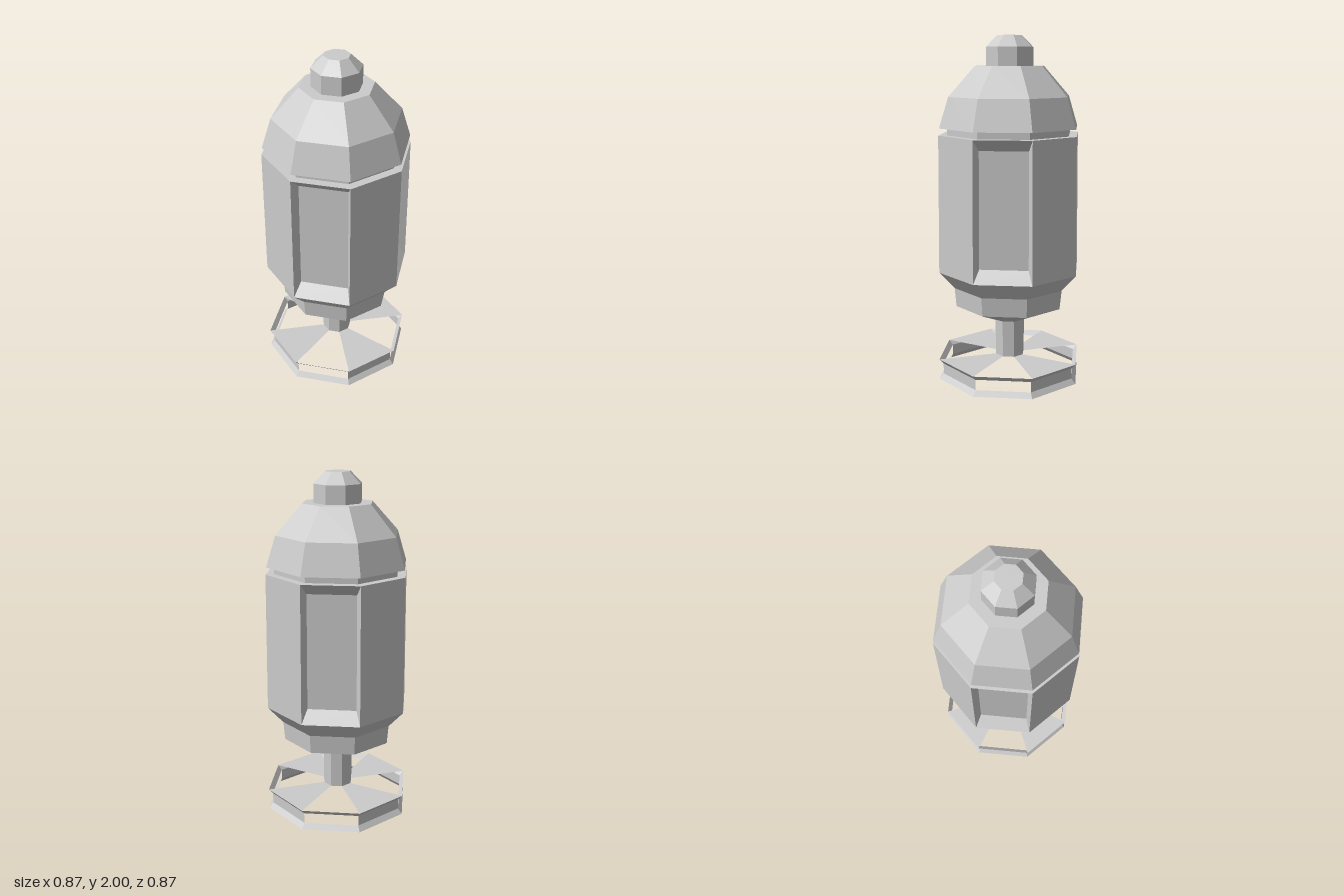
import * as THREE from 'three';

const SIDES = 8;
const STEP = (Math.PI * 2) / SIDES;

const material = new THREE.MeshStandardMaterial({ color: 0xcccccc, flatShading: true });
const thin = new THREE.MeshStandardMaterial({ color: 0xcccccc, flatShading: true, side: THREE.DoubleSide });

// Eight-sided turned part; profile of [radius, y] listed from bottom to top
function turned(name, profile, mat = material) {
  const points = profile.map(([r, y]) => new THREE.Vector2(r, y));
  const geometry = new THREE.LatheGeometry(points, SIDES).toNonIndexed();
  geometry.computeVertexNormals();
  const mesh = new THREE.Mesh(geometry, mat);
  mesh.name = name;
  return mesh;
}

// Flat polygons, corners counter-clockwise from outside
function polygons(name, faces, mat = material) {
  const positions = [];
  for (const f of faces) {
    for (let i = 1; i < f.length - 1; i++) {
      for (const p of [f[0], f[i], f[i + 1]]) positions.push(p.x, p.y, p.z);
    }
  }
  const geometry = new THREE.BufferGeometry();
  geometry.setAttribute('position', new THREE.Float32BufferAttribute(positions, 3));
  geometry.computeVertexNormals();
  const mesh = new THREE.Mesh(geometry, mat);
  mesh.name = name;
  return mesh;
}

// Point on the octagon's corner i
function corner(i, r, y) {
  return new THREE.Vector3(Math.sin(i * STEP) * r, y, Math.cos(i * STEP) * r);
}

// Point on a plane across side i: distance from the axis, sideways offset, height
function onSide(i, depth, across, y) {
  const a = (i + 0.5) * STEP;
  return new THREE.Vector3(
    Math.sin(a) * depth + Math.cos(a) * across, y,
    Math.cos(a) * depth - Math.sin(a) * across);
}

export function createModel() {
  const model = new THREE.Group();
  model.name = 'lantern';

  // Body sides: even ones carry a bevelled recess, odd ones are plain
  const body = new THREE.Group();
  body.name = 'body';
  for (let i = 0; i < SIDES; i++) {
    const outer = [corner(i, 0.427, 0.65), corner(i + 1, 0.427, 0.65),
      corner(i + 1, 0.42, 1.445), corner(i, 0.42, 1.445)];
    if (i % 2) {
      body.add(polygons('plainPanel', [outer], thin));
      continue;
    }
    const inner = [onSide(i, 0.328, -0.138, 0.72), onSide(i, 0.328, 0.138, 0.72),
      onSide(i, 0.322, 0.136, 1.38), onSide(i, 0.322, -0.136, 1.38)];
    const faces = [inner];
    for (let k = 0; k < 4; k++) {
      const n = (k + 1) % 4;
      faces.push([outer[k], outer[n], inner[n], inner[k]]);
    }
    body.add(polygons('recessedPanel', faces, thin));
  }
  model.add(body);

  // Underside, neck, lid and knob
  model.add(
    turned('lowerBowl', [[0.09, 0.34], [0.327, 0.44], [0.337, 0.55], [0.427, 0.65]]),
    turned('neck', [[0.42, 1.445], [0.37, 1.445], [0.37, 1.485]]),
    turned('lid', [[0.37, 1.485], [0.415, 1.485], [0.36, 1.66], [0.205, 1.83], [0.14, 1.83]]),
    turned('knob', [[0.14, 1.83], [0.14, 1.935], [0.073, 2], [0, 2]]),
    turned('stem', [[0, 0.12], [0.087, 0.12], [0.09, 0.34]]),
  );

  // Base: two flared rims joined by alternate walls and spoke plates
  model.add(
    turned('baseLowerRim', [[0.435, 0], [0.41, 0.03]], thin),
    turned('baseUpperRim', [[0.41, 0.092], [0.435, 0.12]], thin),
  );
  for (let i = 1; i < SIDES; i += 2) {
    model.add(
      polygons('baseWall', [[corner(i, 0.41, 0.03), corner(i + 1, 0.41, 0.03),
        corner(i + 1, 0.41, 0.092), corner(i, 0.41, 0.092)]], thin),
      polygons('basePlate', [[corner(i, 0.087, 0.12), corner(i, 0.435, 0.12),
        corner(i + 1, 0.435, 0.12), corner(i + 1, 0.087, 0.12)]], thin),
    );
  }
  return model;
}
